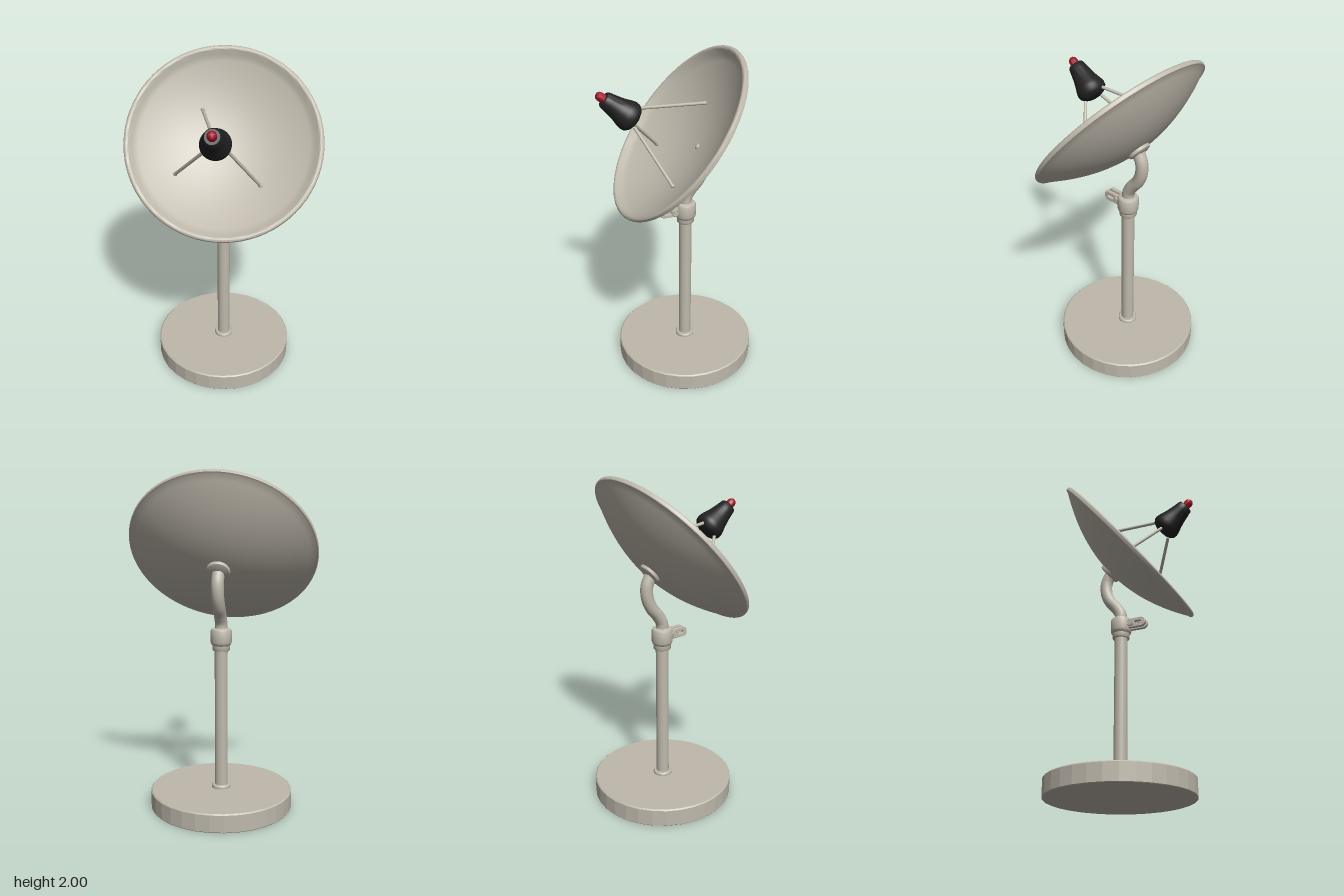
import * as THREE from 'three';
import { toCreasedNormals } from 'three/addons/utils/BufferGeometryUtils.js';

const V = (x, y, z) => new THREE.Vector3(x, y, z);
const UP = V(0, 1, 0);

export function createModel() {
  const model = new THREE.Group();
  model.name = 'dishAntenna';

  const material = (name, color) => {
    const m = new THREE.MeshStandardMaterial({ color });
    m.name = name;
    return m;
  };
  const beige = material('warmGrey', 0xbfb9ac);
  const black = material('black', 0x222222);
  const red = material('red', 0xa01026);

  const add = (parent, name, geometry, mat) => {
    const mesh = new THREE.Mesh(geometry, mat);
    mesh.name = name;
    parent.add(mesh);
    return mesh;
  };
  const lathe = (points, segments, crease = 0.6) => toCreasedNormals(
    new THREE.LatheGeometry(points.map(([r, y]) => new THREE.Vector2(r, y)), segments), crease);
  // A group whose +y points along the given direction
  const aimed = (name, position, direction) => {
    const g = new THREE.Group();
    g.name = name;
    g.position.copy(position);
    g.quaternion.setFromUnitVectors(UP, direction.clone().normalize());
    model.add(g);
    return g;
  };

  // Base and post share one vertical axis
  const stand = new THREE.Group();
  stand.name = 'stand';
  stand.position.set(-0.043, 0, -0.043);
  model.add(stand);
  add(stand, 'base', lathe([[0, 0], [0.427, 0], [0.43, 0.004], [0.43, 0.104], [0.423, 0.111], [0, 0.111]], 32, 0.15), beige);
  add(stand, 'footFlange', lathe([[0.058, 0.108], [0.058, 0.124], [0.052, 0.132], [0, 0.132]], 32), beige);
  add(stand, 'post', new THREE.CylinderGeometry(0.039, 0.039, 0.88, 32).translate(0, 0.55, 0), beige);
  add(stand, 'collar', lathe([
    [0, 0.965], [0.049, 0.965], [0.052, 0.97], [0.052, 0.995], [0.06, 1.005],
    [0.063, 1.015], [0.063, 1.082], [0.058, 1.093], [0.045, 1.1], [0, 1.1],
  ], 32), beige);

  // Clamp: two rounded ears facing the diagonal, joined by a bolt
  const clamp = new THREE.Group();
  clamp.name = 'clamp';
  clamp.position.set(0, 1.05, 0);
  clamp.rotation.y = -Math.PI / 4;
  stand.add(clamp);
  const ear = new THREE.Shape();
  ear.moveTo(0.03, -0.027).lineTo(0.137, -0.027);
  ear.absarc(0.137, 0, 0.027, -Math.PI / 2, Math.PI / 2, false);
  ear.lineTo(0.03, 0.027);
  const slot = new THREE.Path();
  slot.absarc(0.13, 0, 0.012, -Math.PI / 2, Math.PI / 2, false);
  slot.absarc(0.105, 0, 0.012, Math.PI / 2, Math.PI * 1.5, false);
  ear.holes.push(slot);
  for (const side of [-1, 1]) {
    const geo = new THREE.ExtrudeGeometry(ear, {
      depth: 0.014, bevelThickness: 0.003, bevelSize: 0.003, bevelSegments: 2, curveSegments: 12,
    });
    add(clamp, 'clampEar', geo.translate(0, 0, side * 0.018 - 0.007), beige);
    const ring = add(clamp, 'boltRing', new THREE.TorusGeometry(0.018, 0.005, 10, 24), beige);
    ring.position.set(0.072, 0, side * 0.031);
  }
  const bolt = add(clamp, 'bolt', new THREE.CylinderGeometry(0.014, 0.014, 0.076, 20).rotateX(Math.PI / 2), beige);
  bolt.position.x = 0.072;

  // Bent arm between collar and dish
  const arm = new THREE.CatmullRomCurve3([
    V(-0.043, 1.08, -0.043), V(-0.045, 1.13, -0.045), V(-0.064, 1.18, -0.066), V(-0.095, 1.235, -0.098),
    V(-0.112, 1.3, -0.118), V(-0.112, 1.37, -0.12), V(-0.094, 1.43, -0.101),
  ]);
  add(model, 'arm', new THREE.TubeGeometry(arm, 40, 0.037, 24), beige);

  // Dish: shallow paraboloid shell with a rolled rim
  const axis = V(0.535, 0.625, 0.57).normalize();
  const dish = aimed('dish', V(0, 1.555, 0), axis);
  const R = 0.548, depth = 0.165, steps = 18, profile = [];
  const bowl = (r) => -depth * (1 - (r / R) ** 2);
  for (let i = 0; i <= steps; i++) {
    const r = (R * i) / steps;
    profile.push([r, bowl(r) - 0.014]);
  }
  for (let i = 0; i <= 8; i++) {
    const a = -Math.PI / 4 + (i * Math.PI) / 8;
    profile.push([R + 0.017 * Math.cos(a), 0.017 * Math.sin(a)]);
  }
  for (let i = steps - 1; i >= 0; i--) {
    const r = (R * i) / steps;
    profile.push([r, bowl(r)]);
  }
  add(dish, 'bowl', lathe(profile, 72, 0.8), beige);
  add(dish, 'mountFlange', lathe([
    [0, -depth - 0.035], [0.05, -depth - 0.035], [0.066, -depth - 0.028], [0.07, -depth - 0.016], [0.07, -depth - 0.005],
  ], 32, 0.8), beige);
  const nub = add(dish, 'centreNub', new THREE.SphereGeometry(0.018, 16, 10), beige);
  nub.position.y = -depth;
  nub.scale.y = 0.6;

  // Feed horn with a red tip
  const feedBase = V(0.15, 1.66, 0.2);
  const feed = aimed('feed', feedBase, V(0.12, 0.15, 0.145));
  add(feed, 'horn', lathe([
    [0, -0.032], [0.045, -0.03], [0.07, -0.018], [0.084, 0], [0.087, 0.02], [0.081, 0.045],
    [0.069, 0.08], [0.06, 0.115], [0.053, 0.15], [0.047, 0.182], [0.041, 0.189], [0, 0.189],
  ], 40, 0.7), black);
  add(feed, 'tip', lathe([
    [0.026, 0.185], [0.026, 0.215], [0.022, 0.228], [0.012, 0.237], [0, 0.24],
  ], 24, 0.8), red);

  // Three struts from the bowl to the horn
  const struts = [
    [V(-0.24, 1.66, -0.065), V(0.12, 1.703, 0.195)],
    [V(-0.17, 1.372, 0.22), V(0.125, 1.64, 0.245)],
    [V(0.21, 1.33, -0.088), V(0.193, 1.625, 0.155)],
  ];
  for (const [from, to] of struts) {
    const length = from.distanceTo(to);
    const strut = aimed('strut', from, to.clone().sub(from));
    add(strut, 'strutRod', new THREE.CylinderGeometry(0.0095, 0.0095, length, 14).translate(0, length / 2, 0), beige);
    add(strut, 'strutFoot', new THREE.SphereGeometry(0.0125, 14, 10), beige);
  }

  return model;
}
